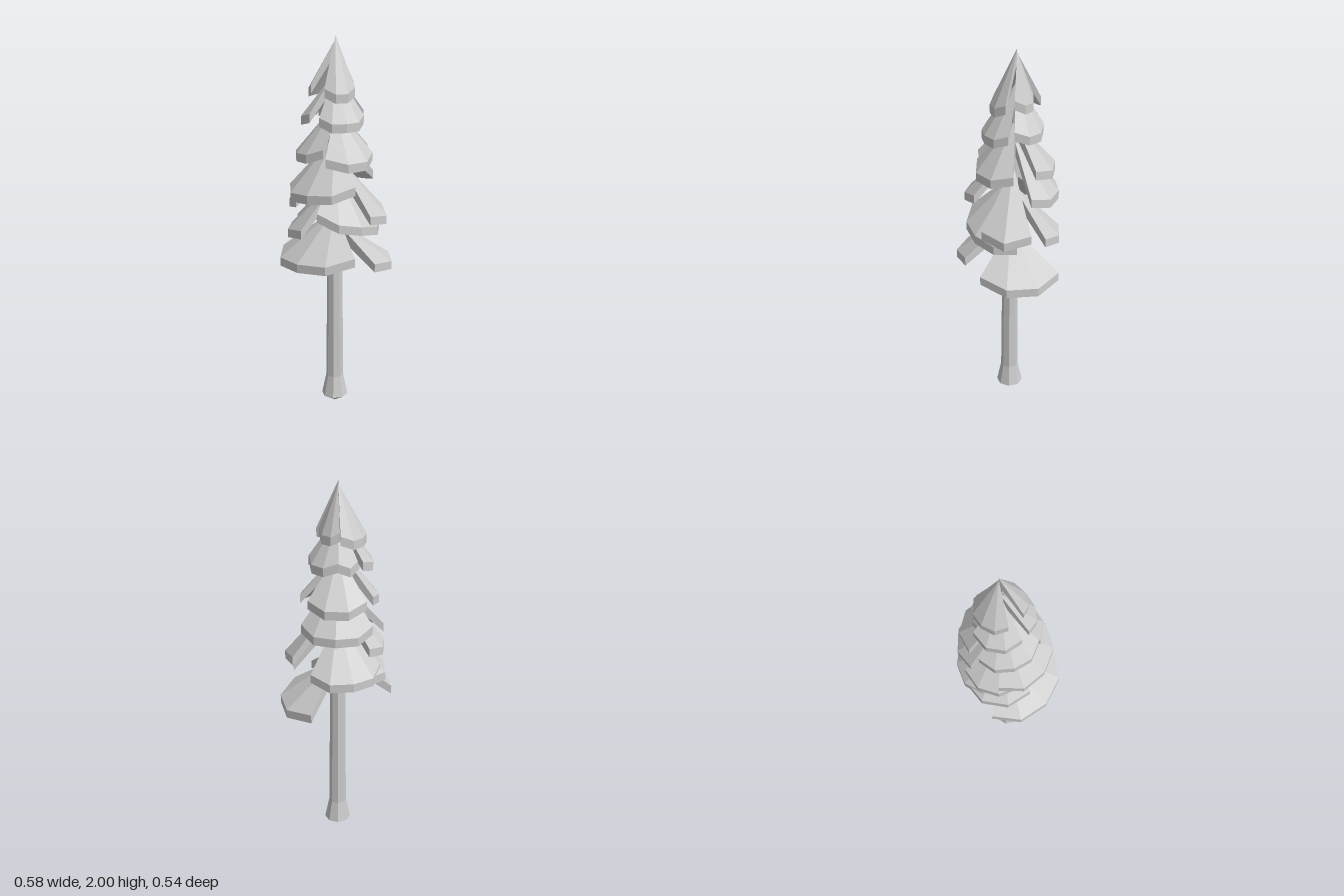
import * as THREE from 'three';

const material = new THREE.MeshStandardMaterial({ color: 0xcccccc, flatShading: true });

// The stem leans slightly backwards above the bare trunk
const leanZ = (y) => -0.01 - 0.035 * Math.max(0, (y - 0.8) / 1.2);

// Flat-faced geometry from a list of triangles
function facets(triangles) {
  const geometry = new THREE.BufferGeometry().setFromPoints(triangles.flat());
  geometry.computeVertexNormals();
  return geometry;
}

// One bough: a cone sector with a thick rim and a hollow underside; tilt lifts one end of the rim
function boughGeometry(angle, spread, radius, rimY, apexY, tilt) {
  const segments = Math.round(spread / 30), thickness = 0.045, rimZ = -0.034;
  const apexTop = new THREE.Vector3(0, apexY, leanZ(apexY));
  const apexLow = new THREE.Vector3(0, apexY - thickness * 1.6, leanZ(apexY));
  const top = [], low = [];
  for (let i = 0; i <= segments; i++) {
    const s = 1 - (2 * i) / segments;
    const a = THREE.MathUtils.degToRad(angle + (spread / 2) * s);
    const end = i === 0 || i === segments;
    const r = radius * (end ? 0.92 : 1);
    const y = rimY + tilt * s + (end ? 0.025 : 0);
    low.push(new THREE.Vector3(r * Math.cos(a), y, rimZ + r * Math.sin(a)));
    top.push(new THREE.Vector3(r * Math.cos(a), y + thickness, rimZ + r * Math.sin(a)));
  }
  const tris = [];
  for (let i = 0; i < segments; i++) {
    tris.push([apexTop, top[i], top[i + 1]]);
    tris.push([apexLow, low[i + 1], low[i]]);
    tris.push([top[i], low[i], low[i + 1]], [top[i], low[i + 1], top[i + 1]]);
  }
  // cut sides
  const n = segments;
  tris.push([apexTop, low[0], top[0]], [apexTop, apexLow, low[0]]);
  tris.push([apexTop, top[n], low[n]], [apexTop, low[n], apexLow]);
  return facets(tris);
}

// Angle (degrees from +x towards +z), spread, radius, rim height, apex height, tilt
const tiers = {
  bottomBough: [[-11, 94, 0.303, 0.79, 1.05, 0.005], [122, 120, 0.305, 0.835, 1.11, -0.015]],
  lowerBough: [[-106, 115, 0.24, 0.98, 1.29, 0], [50, 112, 0.25, 1.025, 1.34, 0.045], [180, 95, 0.25, 0.96, 1.26, 0]],
  middleBough: [[8, 60, 0.275, 1.045, 1.4, 0], [188, 80, 0.24, 1.115, 1.42, 0],
    [116, 118, 0.255, 1.19, 1.5, -0.02], [-84, 116, 0.228, 1.225, 1.54, 0]],
  upperBough: [[48, 98, 0.208, 1.345, 1.64, 0], [154, 105, 0.205, 1.375, 1.66, -0.015], [-85, 98, 0.208, 1.36, 1.64, 0]],
  highBough: [[62, 105, 0.163, 1.54, 1.83, 0], [180, 90, 0.175, 1.555, 1.82, 0],
    [-45, 85, 0.155, 1.56, 1.83, 0], [-112, 55, 0.14, 1.555, 1.83, 0]],
  crownBough: [[66, 90, 0.122, 1.68, 2, 0], [212, 112, 0.138, 1.69, 1.98, 0], [-50, 95, 0.1, 1.7, 1.985, 0]],
};

export function createModel() {
  const tree = new THREE.Group();
  tree.name = 'tree';

  // Trunk with a flared foot, pointed below
  const profile = [[0, 0], [0.07, 0.045], [0.047, 0.16], [0.04, 0.85], [0.024, 1.4], [0, 1.9]];
  const trunkGeometry = new THREE.LatheGeometry(profile.map(([r, y]) => new THREE.Vector2(r, y)), 8);
  const p = trunkGeometry.attributes.position;
  for (let i = 0; i < p.count; i++) p.setZ(i, p.getZ(i) + leanZ(p.getY(i)));
  trunkGeometry.computeVertexNormals();
  const trunk = new THREE.Mesh(trunkGeometry, material);
  trunk.name = 'trunk';
  tree.add(trunk);

  // Boughs, tier by tier
  for (const [name, boughs] of Object.entries(tiers)) {
    const tier = new THREE.Group();
    tier.name = name + 'Tier';
    for (const settings of boughs) {
      const bough = new THREE.Mesh(boughGeometry(...settings), material);
      bough.name = name;
      tier.add(bough);
    }
    tree.add(tier);
  }
  return tree;
}
